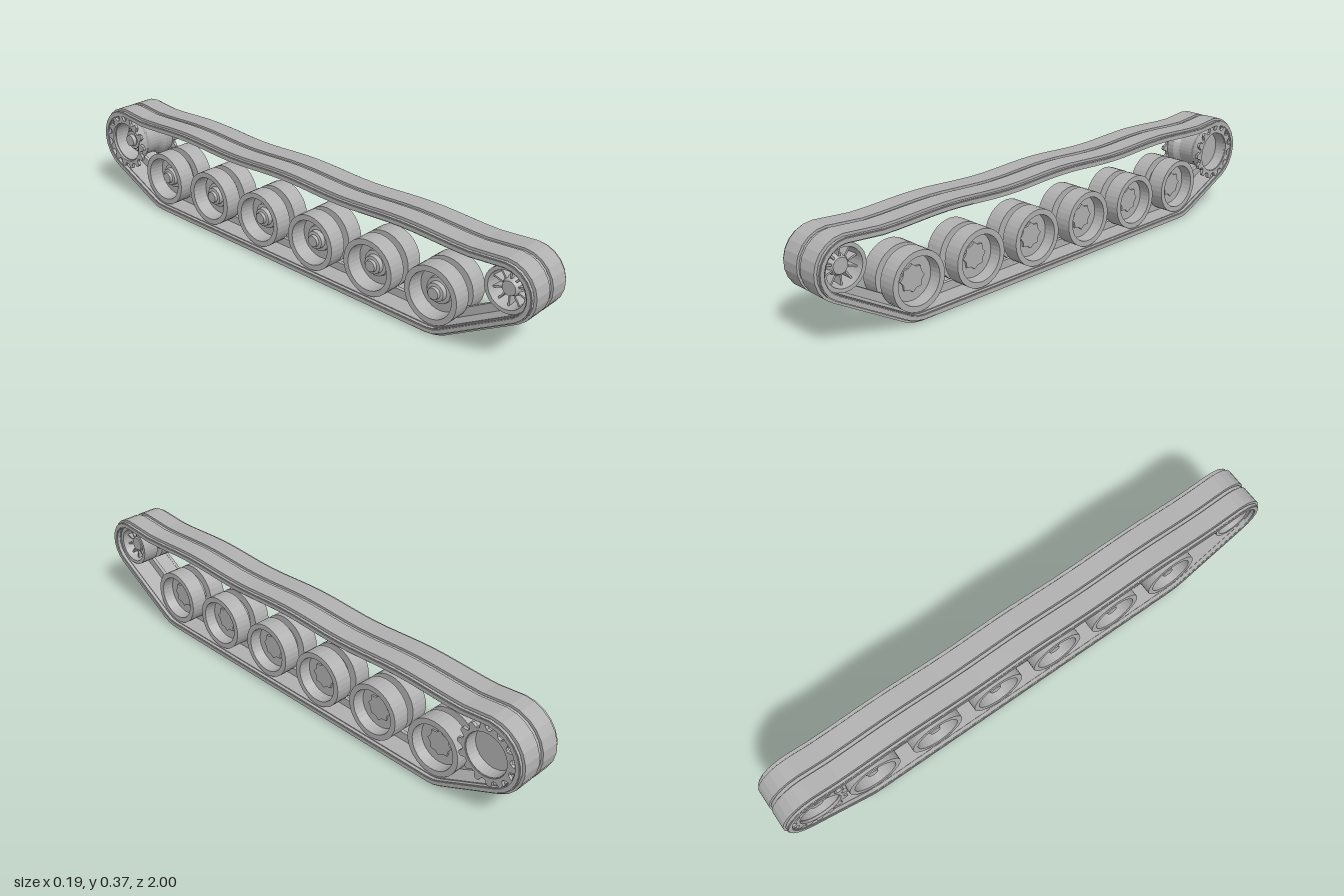
import * as THREE from 'three';

const steel = new THREE.MeshStandardMaterial({ color: 0xb0b0b0, flatShading: true });
steel.name = 'steel grey';

const rad = THREE.MathUtils.degToRad;
const IDLER = { z: 0.893, y: 0.26, r: 0.107 };
const SPROCKET = { z: -0.866, y: 0.233, r: 0.134 };
const WHEELS = [0.626, 0.369, 0.112, -0.144, -0.401, -0.658];
const WHEEL_Y = 0.134;

// Closed side outline of the belt in (z, y), moved inward by the inset
function beltLoop(inset) {
  const pts = [];
  const arc = (z, y, r, from, to, steps) => {
    for (let i = 0; i <= steps; i++) {
      const a = rad(from + ((to - from) * i) / steps);
      pts.push(new THREE.Vector2(z + Math.cos(a) * (r - inset), y + Math.sin(a) * (r - inset)));
    }
  };
  arc(IDLER.z, IDLER.y, IDLER.r, -59.5, 90, 9);
  // gently sagging upper run
  for (let i = 0; i <= 30; i++) {
    const z = 0.765 - i * 0.051;
    const sag = 0.005 * (1 - Math.cos((Math.PI * 2 * z) / 0.51));
    pts.push(new THREE.Vector2(z, 0.367 - sag - inset));
  }
  arc(SPROCKET.z, SPROCKET.y, SPROCKET.r, 90, 244.5, 10);
  arc(WHEELS[5], WHEEL_Y, 0.134, 244.5, 270, 2);
  arc(WHEELS[0], WHEEL_Y, 0.134, 270, 300.5, 2);
  return pts;
}

// Extrudes a (z, y) outline across the model, centred on x
function extrudeAcross(shape, width, x = 0) {
  const g = new THREE.ExtrudeGeometry(shape, { depth: width, bevelEnabled: false });
  return g.translate(0, 0, -width / 2).rotateY(-Math.PI / 2).translate(x, 0, 0);
}

function add(parent, name, geometry) {
  const mesh = new THREE.Mesh(geometry, steel);
  mesh.name = name;
  parent.add(mesh);
  return mesh;
}

function belt(parent, name, x0, x1, outer, inner) {
  const shape = new THREE.Shape(beltLoop(outer));
  shape.holes.push(new THREE.Path(beltLoop(inner)));
  add(parent, name, extrudeAcross(shape, x1 - x0, (x0 + x1) / 2));
}

// Turned part around the x axis; the profile holds [radius, x] pairs
function turned(profile, segments = 32) {
  const pts = profile.map(([r, x]) => new THREE.Vector2(r, x));
  return new THREE.LatheGeometry(pts, segments).rotateZ(-Math.PI / 2);
}

// Outline made of repeated radii, spread evenly around the circle
function radialOutline(count, radii) {
  const pts = [];
  const n = count * radii.length;
  for (let i = 0; i < n; i++) {
    const a = (i / n) * Math.PI * 2;
    const r = radii[i % radii.length];
    pts.push(new THREE.Vector2(Math.cos(a) * r, Math.sin(a) * r));
  }
  return new THREE.Shape(pts);
}

function placed(name, z, y) {
  const g = new THREE.Group();
  g.name = name;
  g.position.set(0, y, z);
  return g;
}

// Double road wheel: dished outside with a star cap, stepped hub inside
function roadWheel(z) {
  const g = placed('roadWheel', z, WHEEL_Y);
  add(g, 'wheelBody', turned([
    [0, -0.062], [0.02, -0.062], [0.022, -0.052], [0.032, -0.05], [0.034, -0.034],
    [0.046, -0.032], [0.048, -0.022], [0.078, -0.02], [0.082, -0.076], [0.102, -0.076],
    [0.102, -0.012], [0.072, -0.012], [0.072, 0.012], [0.102, 0.012],
    [0.102, 0.076], [0.082, 0.076], [0.078, 0.035], [0, 0.035],
  ]));
  add(g, 'starCap', extrudeAcross(radialOutline(8, [0.048, 0.039]), 0.01, 0.037));
  return g;
}

// Front idler: grooved rim with a thin web, hub and radial ribs
function idlerWheel() {
  const g = placed('idlerWheel', IDLER.z, IDLER.y);
  add(g, 'idlerRim', turned([
    [0.044, -0.01], [0.058, -0.012], [0.064, -0.074], [0.077, -0.074], [0.077, -0.012],
    [0.046, -0.012], [0.046, 0.012], [0.077, 0.012], [0.077, 0.074],
    [0.064, 0.074], [0.058, 0.012], [0.044, 0.01],
  ]));
  add(g, 'idlerHub', turned([
    [0, -0.06], [0.024, -0.06], [0.034, -0.035], [0.036, -0.008], [0.05, -0.008],
    [0.05, 0.008], [0.036, 0.008], [0.034, 0.04], [0.026, 0.055], [0, 0.055],
  ], 24));
  for (let i = 0; i < 10; i++) {
    for (const side of [-1, 1]) {
      const rib = add(g, 'idlerRib', new THREE.BoxGeometry(0.045, 0.032, 0.006).translate(side * 0.03, 0.046, 0));
      rib.rotation.x = (i / 10) * Math.PI * 2;
    }
  }
  return g;
}

// Rear drive sprocket: dished drum, stepped hub and two toothed rings
function driveSprocket() {
  const g = placed('driveSprocket', SPROCKET.z, SPROCKET.y);
  add(g, 'sprocketDrum', turned([
    [0, -0.07], [0.022, -0.07], [0.024, -0.055], [0.036, -0.055], [0.038, -0.035],
    [0.054, -0.035], [0.056, -0.02], [0.07, -0.02], [0.074, -0.08], [0.084, -0.08],
    [0.084, -0.05], [0.07, -0.03], [0.07, 0.03], [0.084, 0.05],
    [0.084, 0.086], [0.076, 0.086], [0.072, 0.045], [0, 0.045],
  ]));
  for (const side of [-1, 1]) {
    const ring = radialOutline(14, [0.108, 0.106, 0.09, 0.088, 0.09, 0.106]);
    ring.holes.push(new THREE.Path().absarc(0, 0, 0.078, 0, Math.PI * 2, true));
    add(g, 'toothedRing', extrudeAcross(ring, 0.011, side * 0.084));
  }
  for (let i = 0; i < 10; i++) {
    const a = (i / 10) * Math.PI * 2;
    const bolt = add(g, 'hubBolt', new THREE.CylinderGeometry(0.004, 0.004, 0.01, 6).rotateZ(Math.PI / 2));
    bolt.position.set(-0.038, Math.sin(a) * 0.046, Math.cos(a) * 0.046);
  }
  return g;
}

export function createModel() {
  const model = new THREE.Group();
  model.name = 'trackAssembly';

  // Belt: pads, connectors, joining web and inner guide ridge
  const track = new THREE.Group();
  track.name = 'trackBelt';
  model.add(track);
  belt(track, 'joiningWeb', -0.085, 0.085, 0.014, 0.027);
  for (const side of [-1, 1]) {
    const span = (a, b) => (side > 0 ? [a, b] : [-b, -a]);
    belt(track, 'trackPad', ...span(0.009, 0.078), 0, 0.03);
    belt(track, 'edgeConnector', ...span(0.081, 0.091), 0.008, 0.028);
    belt(track, 'edgeConnectorFace', ...span(0.091, 0.094), 0.011, 0.025);
  }
  belt(track, 'centreConnector', -0.006, 0.006, 0.006, 0.03);
  belt(track, 'guideRidge', -0.007, 0.007, 0.028, 0.058);

  // Running gear
  WHEELS.forEach((z) => model.add(roadWheel(z)));
  model.add(idlerWheel(), driveSprocket());
  return model;
}
